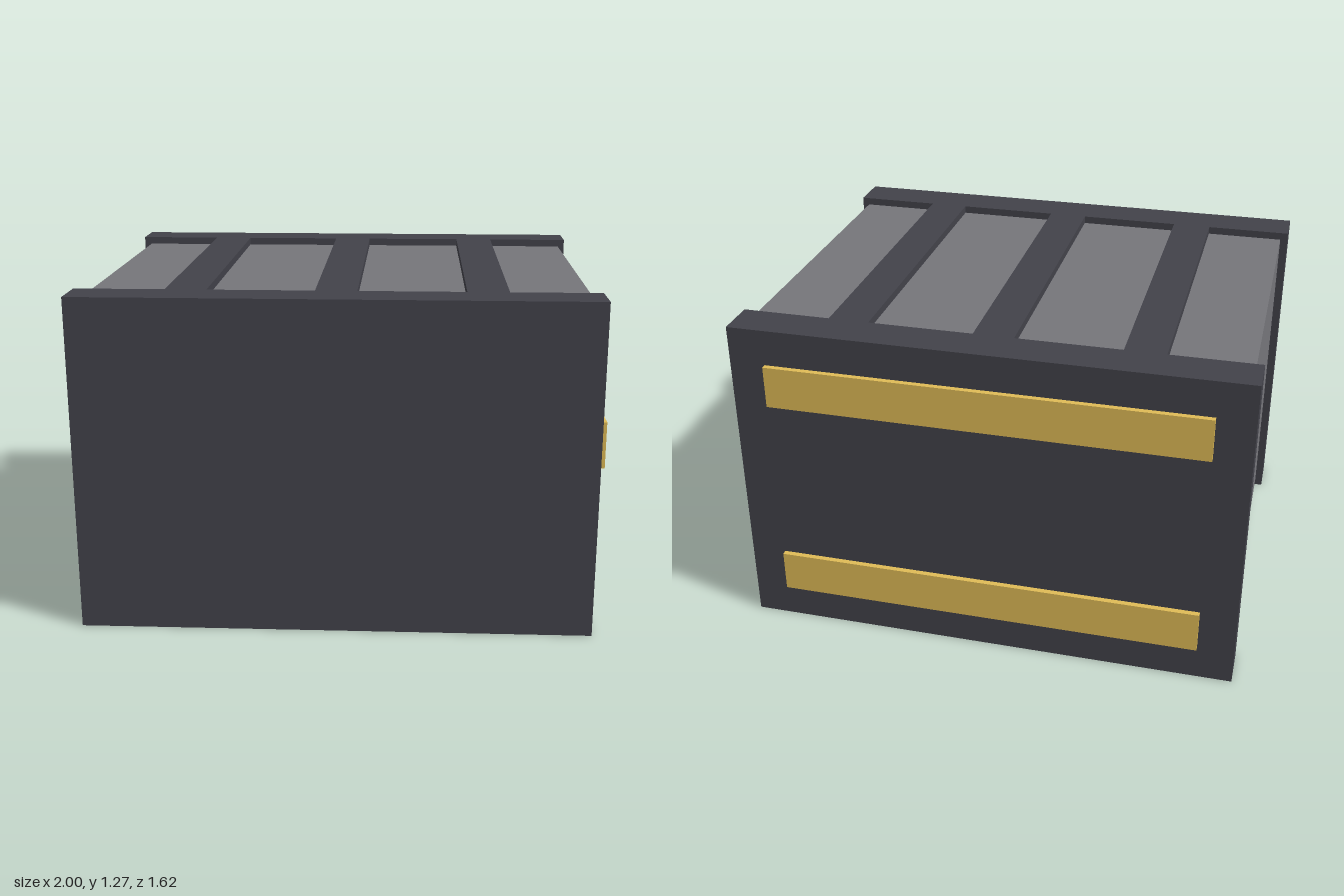
import * as THREE from 'three';

export function createModel() {
  const model = new THREE.Group();
  const dark = new THREE.MeshStandardMaterial({ color: 0x42424a });
  const grey = new THREE.MeshStandardMaterial({ color: 0x75757a });
  const gold = new THREE.MeshStandardMaterial({ color: 0xdfbb56 });

  // Box spanning the given [min, max] ranges
  function addBox(name, material, [x0, x1], [y0, y1], [z0, z1]) {
    const mesh = new THREE.Mesh(new THREE.BoxGeometry(x1 - x0, y1 - y0, z1 - z0), material);
    mesh.position.set((x0 + x1) / 2, (y0 + y1) / 2, (z0 + z1) / 2);
    mesh.name = name;
    model.add(mesh);
  }

  const height = 1.273;
  const inner = [-0.63, 0.648];

  // Recessed body between two end plates
  addBox('body', grey, [-0.97, 0.903], [0.03, height - 0.03], inner);
  addBox('frontPlate', dark, [-1, 0.93], [0, height], [inner[1], 0.811]);
  addBox('backPlate', dark, [-1, 0.93], [0, height], [-0.79, inner[0]]);

  // Ribs joining the plates, standing proud on the top and bottom
  [-0.586, -0.035, 0.517].forEach((x, i) => {
    const across = [x - 0.077, x + 0.077];
    addBox(`topRib${i + 1}`, dark, across, [height - 0.03, height], inner);
    addBox(`bottomRib${i + 1}`, dark, across, [0, 0.03], inner);
  });

  // Side handle
  addBox('handle', gold, [0.903, 1], [0.543, 0.73], [-0.433, 0.455]);

  // Two raised strips on the back plate
  addBox('lowerStrip', gold, [-0.86, 0.793], [0.14, 0.304], [-0.811, -0.79]);
  addBox('upperStrip', gold, [-0.86, 0.793], [0.97, 1.134], [-0.811, -0.79]);

  return model;
}
